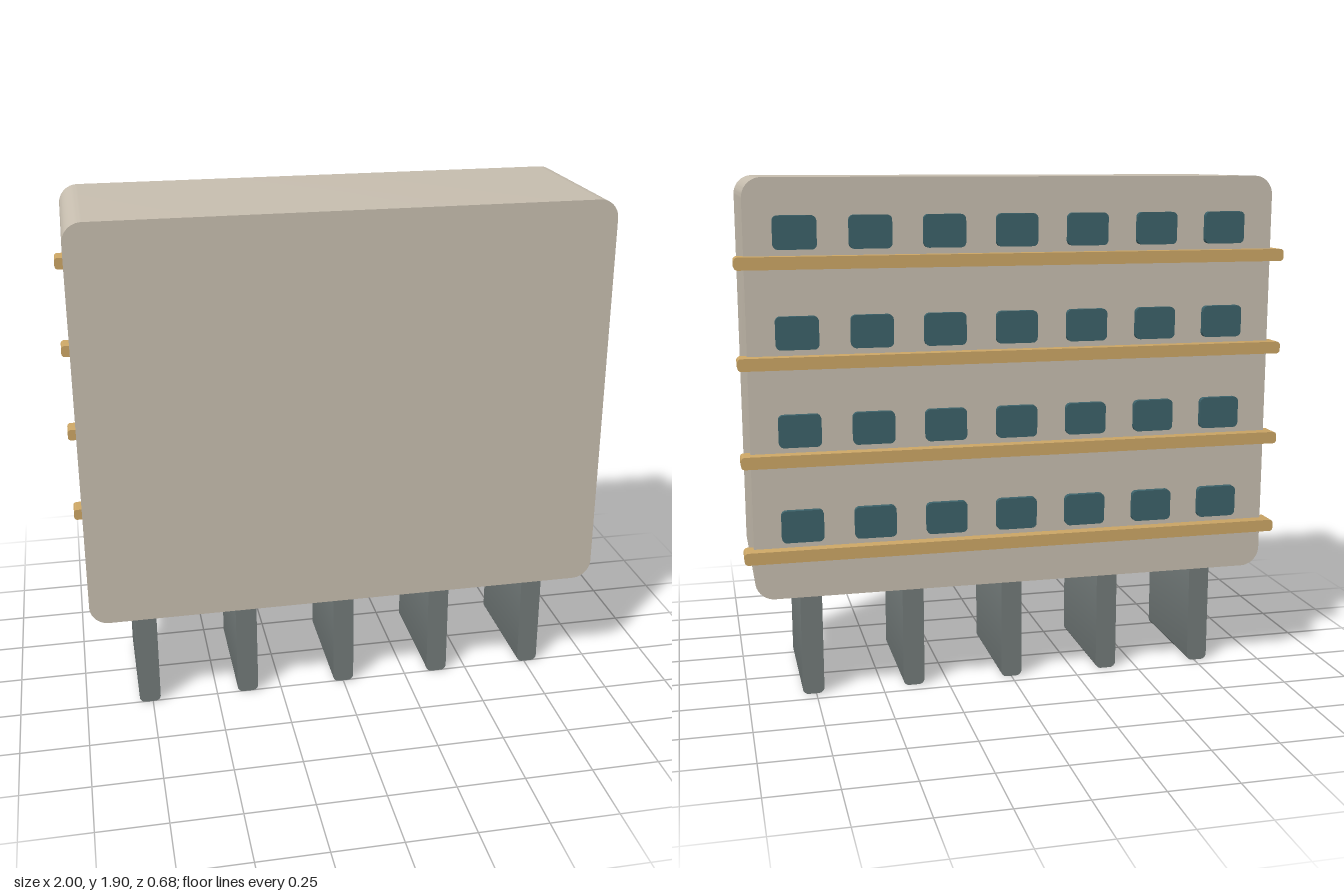
import * as THREE from 'three';
import { toCreasedNormals } from 'three/addons/utils/BufferGeometryUtils.js';

// Slab with rounded corners in the xy plane, spanning z0 to z1, centred on x and y
function roundedSlab(w, h, r, z0, z1) {
  const x = w / 2, y = h / 2;
  const s = new THREE.Shape();
  s.moveTo(-x + r, -y);
  s.lineTo(x - r, -y);
  s.absarc(x - r, -y + r, r, -Math.PI / 2, 0);
  s.lineTo(x, y - r);
  s.absarc(x - r, y - r, r, 0, Math.PI / 2);
  s.lineTo(-x + r, y);
  s.absarc(-x + r, y - r, r, Math.PI / 2, Math.PI);
  s.lineTo(-x, -y + r);
  s.absarc(-x + r, -y + r, r, Math.PI, Math.PI * 1.5);
  const g = new THREE.ExtrudeGeometry(s, { depth: z1 - z0, bevelEnabled: false, curveSegments: 8 });
  g.translate(0, 0, z0);
  return toCreasedNormals(g, 0.6);
}

export function createModel() {
  const model = new THREE.Group();
  model.name = 'slabBuilding';
  const concrete = new THREE.MeshStandardMaterial({ color: 0xc8bfb0 });
  const stone = new THREE.MeshStandardMaterial({ color: 0x737b7a });
  const ochre = new THREE.MeshStandardMaterial({ color: 0xcda766 });
  const glass = new THREE.MeshStandardMaterial({ color: 0x3c626a });

  const add = (name, geometry, material, x, y) => {
    const mesh = new THREE.Mesh(geometry, material);
    mesh.name = name;
    mesh.position.set(x, y, 0);
    model.add(mesh);
  };

  // Main block
  add('block', roundedSlab(1.93, 1.49, 0.07, -0.295, 0.34), concrete, 0, 1.155);

  // Five wall-like pillars, their tops set into the block
  const pillar = roundedSlab(0.08, 0.43, 0.022, -0.2, 0.252);
  for (let i = -2; i <= 2; i++) add('pillar', pillar, stone, i * 0.38, 0.215);

  // Four floors at the back, each with a balcony ledge and a row of windows
  const ledge = roundedSlab(2, 0.044, 0.013, -0.34, -0.262);
  const pane = roundedSlab(0.15, 0.116, 0.018, -0.316, -0.27);
  for (let floor = 0; floor < 4; floor++) {
    const y = 0.577 + floor * 0.345;
    add('ledge', ledge, ochre, 0, y);
    for (let i = 0; i < 7; i++) add('window', pane, glass, -0.775 + i * 0.261, y + 0.102);
  }
  return model;
}
